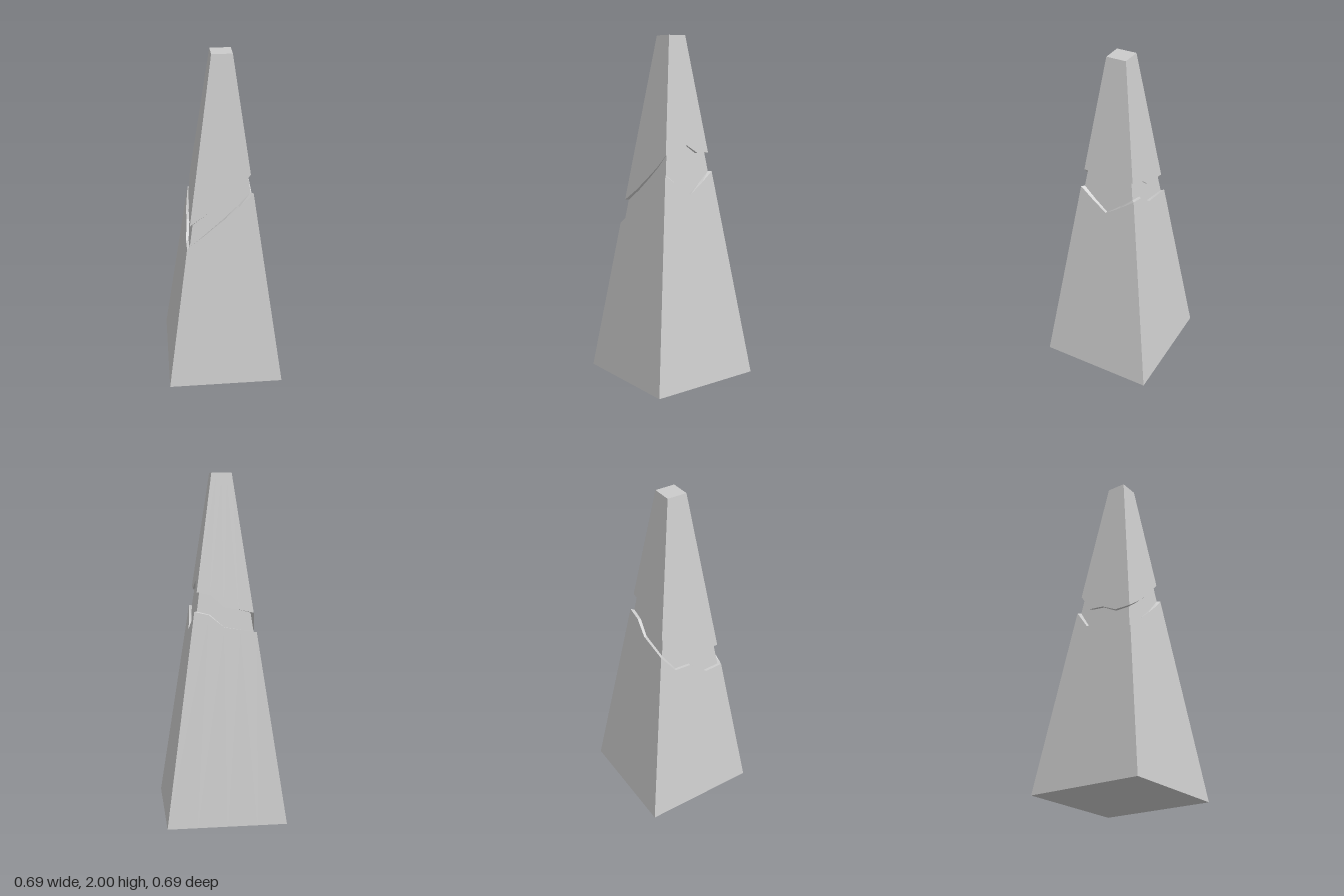
import * as THREE from 'three';

const BASE = 0.345, TOP = 0.058, HEIGHT = 2, INSET = 0.016;
const halfWidth = (y) => BASE + (TOP - BASE) * y / HEIGHT;

// Crack heights, four per face, going round: front, +x side, back, -x side.
const LOWER_EDGE = [
  0.9, 0.99, 1.07, 1.145,
  1.22, 1.16, 1.1, 1.16,
  1.22, 1.2, 1.13, 1.115,
  1.1, 0.985, 0.98, 0.895,
];
const UPPER_EDGE = [
  1.04, 1.11, 1.185, 1.255,
  1.33, 1.33, 1.38, 1.33,
  1.33, 1.315, 1.245, 1.23,
  1.21, 1.1, 1.09, 1.04,
];
const level = (y) => new Array(16).fill(y);

// Square ring of 16 points lying on the tapered faces, pulled in by inset.
function ring(heights, inset = 0) {
  return heights.map((y, i) => {
    const h = halfWidth(y) - inset;
    const t = -1 + (i % 4) / 2;
    return new THREE.Vector3(t * h, y, h)
      .applyAxisAngle(new THREE.Vector3(0, 1, 0), Math.floor(i / 4) * Math.PI / 2);
  });
}

// Skin a stack of rings from bottom to top, with optional flat end caps.
function skin(name, rings, { capBottom = false, capTop = false } = {}) {
  const points = [];
  const n = rings[0].length;
  for (let r = 0; r + 1 < rings.length; r++) {
    const a = rings[r], b = rings[r + 1];
    for (let i = 0; i < n; i++) {
      const j = (i + 1) % n;
      points.push(a[i], a[j], b[j], a[i], b[j], b[i]);
    }
  }
  const cap = (loop, up) => {
    const c = new THREE.Vector3(0, loop[0].y, 0);
    for (let i = 0; i < n; i++) {
      const p = loop[i], q = loop[(i + 1) % n];
      points.push(c, up ? p : q, up ? q : p);
    }
  };
  if (capBottom) cap(rings[0], false);
  if (capTop) cap(rings[rings.length - 1], true);

  const geometry = new THREE.BufferGeometry().setFromPoints(points);
  geometry.computeVertexNormals();
  const mesh = new THREE.Mesh(geometry, new THREE.MeshStandardMaterial({ color: 0xcccccc, flatShading: true }));
  mesh.name = name;
  return mesh;
}

export function createModel() {
  const group = new THREE.Group();
  group.name = 'crackedObelisk';
  const lowerInner = ring(LOWER_EDGE, INSET);
  const upperInner = ring(UPPER_EDGE, INSET);

  // Broken base with its narrow ledge
  group.add(skin('lowerShaft', [ring(level(0)), ring(LOWER_EDGE), lowerInner], { capBottom: true }));
  // Recessed band inside the crack
  group.add(skin('recessedBand', [lowerInner, upperInner]));
  // Tapered top piece with its overhang
  group.add(skin('upperShaft', [upperInner, ring(UPPER_EDGE), ring(level(HEIGHT))], { capTop: true }));
  return group;
}
